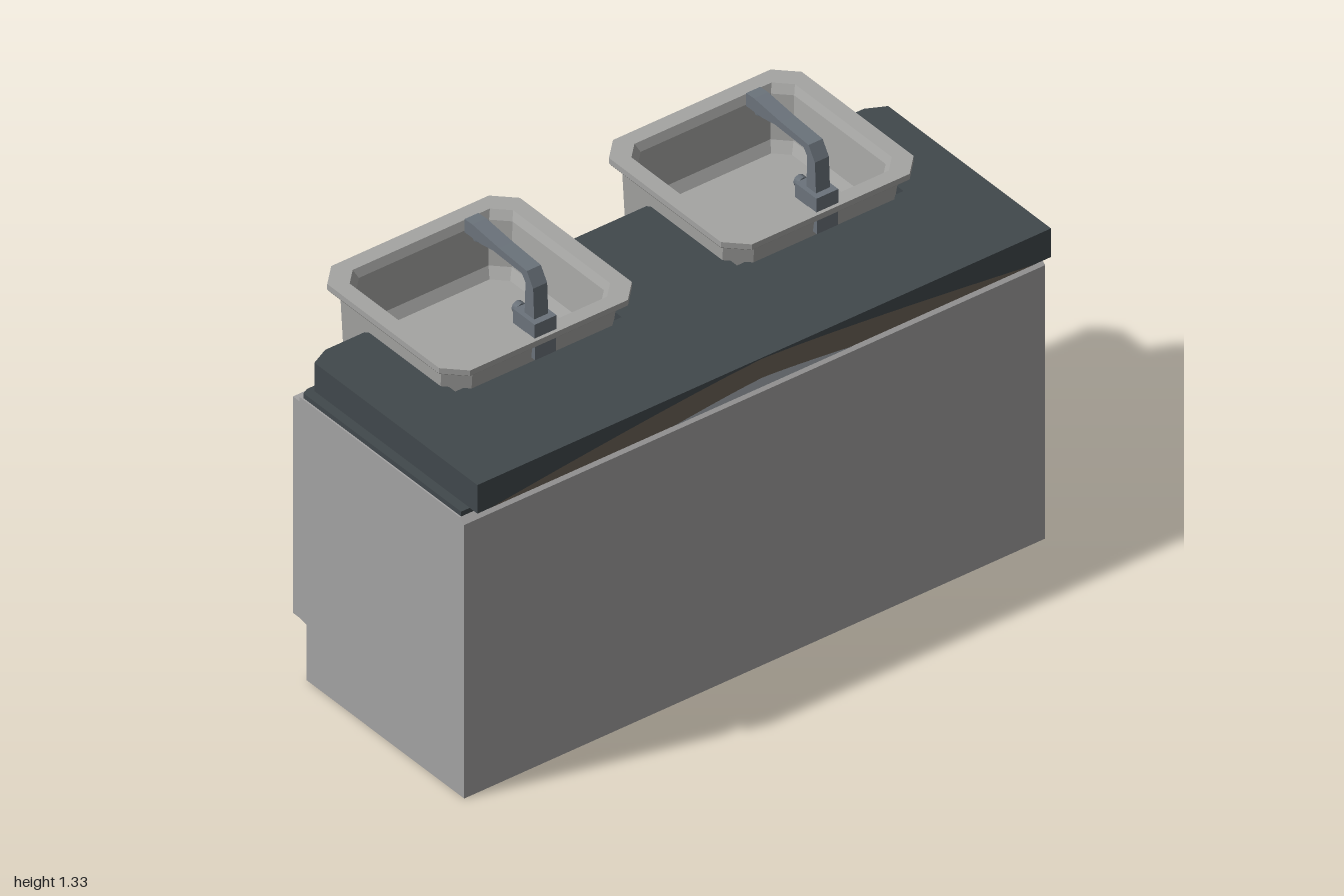
import * as THREE from 'three';

const mat = (name, color) => {
  const m = new THREE.MeshStandardMaterial({ color });
  m.name = name;
  return m;
};

export function createModel() {
  const cabinetGrey = mat('cabinet grey', 0xa3a2a2);
  const sinkGrey = mat('sink grey', 0xa4a4a2);
  const slate = mat('counter slate', 0x41484c);
  const metal = mat('faucet metal', 0x6b737b);
  const brown = mat('edge brown', 0x6c6358);
  const pale = mat('edge pale grey', 0xa9b0b6);

  const model = new THREE.Group();
  model.name = 'doubleSinkVanity';
  const add = (parent, name, geo, material, x = 0, y = 0, z = 0) => {
    const mesh = new THREE.Mesh(geo, material);
    mesh.name = name;
    mesh.position.set(x, y, z);
    parent.add(mesh);
    return mesh;
  };
  const poly = pts => new THREE.Shape(pts.map(p => new THREE.Vector2(p[0], p[1])));
  const extrude = (shape, depth) => new THREE.ExtrudeGeometry(shape, { depth, bevelEnabled: false });
  const rect = (x0, x1, y0, y1) => [[x0, y0], [x1, y0], [x1, y1], [x0, y1]];
  const sinkZ = [-0.505, 0.46];

  // Cabinet carcass with toe kick
  add(model, 'cabinetBody', extrude(poly([
    [-0.24, 0], [0.46, 0], [0.46, 0.91], [0.44, 0.925],
    [-0.27, 0.925], [-0.27, 0.19], [-0.24, 0.185]]), 1.99), cabinetGrey, 0, 0, -0.99);

  // Front frame: a flat border with an opening, facing -x
  const border = poly(rect(-0.99, 1, 0.19, 0.91));
  border.holes.push(poly(rect(-0.93, 0.94, 0.24, 0.87)));
  add(model, 'frontFrame', extrude(border, 0.03).rotateY(-Math.PI / 2), cabinetGrey, -0.27);

  // Loops of equal point count joined into a faceted skin, optionally capped
  function loft(rings, capped) {
    const pos = [], n = rings[0].length;
    const tri = (a, b, c) => pos.push(...a, ...b, ...c);
    for (let k = 0; k + 1 < rings.length; k++) {
      const a = rings[k], b = rings[k + 1];
      for (let i = 0; i < n; i++) {
        const j = (i + 1) % n;
        tri(a[i], a[j], b[j]);
        tri(a[i], b[j], b[i]);
      }
    }
    const first = rings[0], last = rings[rings.length - 1];
    for (let i = 1; capped && i + 1 < n; i++) {
      tri(first[0], first[i + 1], first[i]);
      tri(last[0], last[i], last[i + 1]);
    }
    const g = new THREE.BufferGeometry();
    g.setAttribute('position', new THREE.Float32BufferAttribute(pos, 3));
    g.computeVertexNormals();
    return g;
  }

  // Raised moulding with sloping sides around the front panel
  const panelRing = (x, d) => rect(-0.9 + d, 0.91 - d, 0.27 + d, 0.845 - d).map(([z, y]) => [x, y, z]);
  add(model, 'frontMoulding', loft([
    panelRing(-0.27, 0), panelRing(-0.292, 0.015), panelRing(-0.292, 0.035), panelRing(-0.271, 0.06)
  ], false), cabinetGrey);

  // Countertop outline, notched from the front edge for each sink
  function slab(x0, x1, z0, z1, c, thickness) {
    const pts = [[x0 + c, z0], [x1, z0], [x1, z1], [x0 + c, z1], [x0, z1 - 2 * c]];
    for (const z of [...sinkZ].reverse()) {
      pts.push([x0, z + 0.31], [x0 + 0.03, z + 0.285], [0.09, z + 0.285],
        [0.09, z - 0.285], [x0 + 0.03, z - 0.285], [x0, z - 0.31]);
    }
    pts.push([x0, z0 + 2 * c]);
    return extrude(poly(pts), thickness).rotateX(Math.PI / 2);
  }
  add(model, 'countertop', slab(-0.28, 0.473, -1, 0.965, 0.03, 0.095), slate, 0, 1.035);
  add(model, 'counterSupport', slab(-0.27, 0.44, -0.98, 0.995, 0.01, 0.016), slate, 0, 0.941);

  // Arched inlays on the back edge of the counter
  const arch = (half, base, rise) => {
    const pts = [];
    for (let i = 0; i <= 16; i++) {
      const t = 1 - i / 8;
      pts.push([half * t, base + rise * (1 - Math.pow(Math.abs(t), 1.25))]);
    }
    return new THREE.ShapeGeometry(poly(pts)).rotateY(Math.PI / 2);
  };
  add(model, 'backEdgeArch', arch(0.93, 0.941, 0.092), brown, 0.4745, 0, -0.01);
  add(model, 'backEdgeInlay', arch(0.31, 0.941, 0.03), pale, 0.476, 0, -0.01);

  // Rectangle with cut corners, counterclockwise from above
  const ring = (y, x0, x1, h, c) => [
    [x1, y, h - c], [x1, y, c - h], [x1 - c, y, -h], [x0 + c, y, -h],
    [x0, y, c - h], [x0, y, h - c], [x0 + c, y, h], [x1 - c, y, h]];
  const basin = loft([
    ring(0.875, -0.35, 0.05, 0.22, 0.04),
    ring(0.925, -0.455, 0.09, 0.295, 0.06),
    ring(1.1, -0.455, 0.115, 0.305, 0.06),
    ring(1.1, -0.475, 0.13, 0.325, 0.06),
    ring(1.107, -0.48, 0.137, 0.33, 0.06),
    ring(1.125, -0.48, 0.137, 0.33, 0.06),
    ring(1.125, -0.43, 0.09, 0.28, 0.045),
    ring(1.1, -0.418, 0.078, 0.268, 0.045),
    ring(0.965, -0.4, 0.06, 0.252, 0.045),
    ring(0.935, -0.38, 0.045, 0.235, 0.04)], true);

  // Faucet neck and spout as one side profile
  const spout = extrude(poly([
    [0.062, 1.165], [0.105, 1.165], [0.1, 1.27], [0.072, 1.313], [-0.05, 1.32],
    [-0.17, 1.332], [-0.205, 1.33], [-0.205, 1.287], [-0.13, 1.288],
    [-0.08, 1.297], [0.05, 1.293], [0.066, 1.272]]), 0.048);

  sinkZ.forEach((z, i) => {
    const sink = new THREE.Group();
    sink.name = i ? 'leftSink' : 'rightSink';
    sink.position.z = z;
    model.add(sink);
    add(sink, 'basin', basin, sinkGrey);
    add(sink, 'drain', new THREE.CylinderGeometry(0.035, 0.035, 0.006, 8), metal, -0.04, 0.938, 0);
    add(sink, 'faucetBase', new THREE.BoxGeometry(0.095, 0.047, 0.075), metal, 0.078, 1.147, 0.003);
    add(sink, 'faucetMount', new THREE.BoxGeometry(0.017, 0.08, 0.072), metal, 0.117, 1.092, 0.003);
    add(sink, 'faucetSpout', spout, metal, 0, 0, -0.022);
    add(sink, 'nozzle', new THREE.CylinderGeometry(0.018, 0.018, 0.014, 8), metal, -0.17, 1.281, 0.002);
    add(sink, 'knobStem', new THREE.CylinderGeometry(0.01, 0.01, 0.03, 8).rotateZ(Math.PI / 2), metal, 0.02, 1.142, 0);
    add(sink, 'knob', new THREE.CylinderGeometry(0.019, 0.019, 0.02, 8).rotateZ(Math.PI / 2), metal, 0.004, 1.142, 0);
  });

  return model;
}
